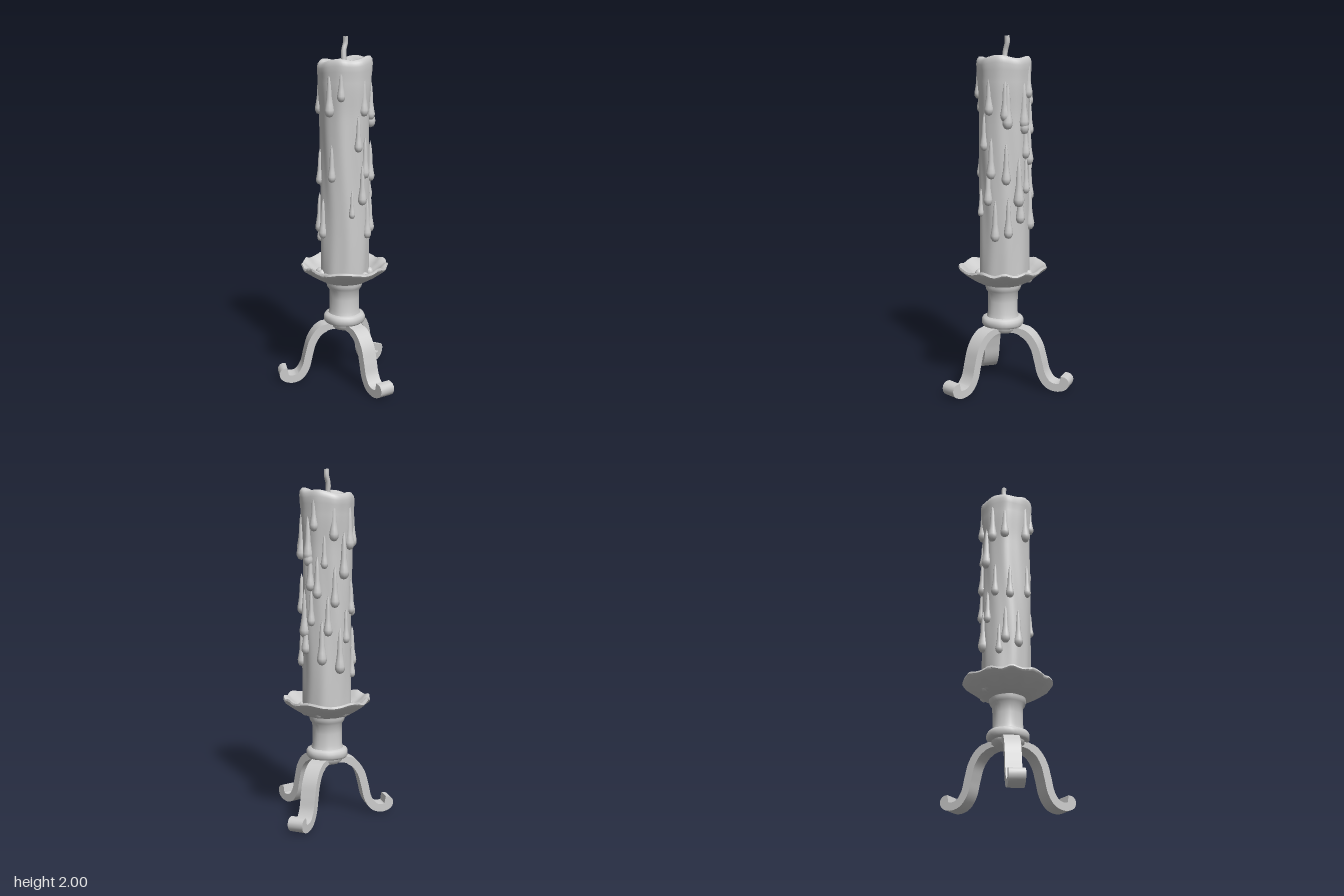
import * as THREE from 'three';
import { mergeVertices, toCreasedNormals } from 'three/addons/utils/BufferGeometryUtils.js';

const CX = 0.057; // the candle axis sits right of the tripod's middle

function seeded(seed) {
  let s = seed;
  return () => (s = (s * 16807) % 2147483647) / 2147483647;
}

// Lathe whose vertices are moved by rule(radius, y, angle) -> [radius, y]
function wavyLathe(profile, segments, rule) {
  const points = profile.map(([r, y]) => new THREE.Vector2(r, y));
  let geo = new THREE.LatheGeometry(points, segments);
  geo.deleteAttribute('uv');
  geo.deleteAttribute('normal');
  const p = geo.attributes.position;
  for (let i = 0; i < p.count; i++) {
    const x = p.getX(i), z = p.getZ(i);
    const a = Math.atan2(z, x);
    const [r, y] = rule(Math.hypot(x, z), p.getY(i), a);
    p.setXYZ(i, r * Math.cos(a), y, r * Math.sin(a));
  }
  geo = mergeVertices(geo, 1e-5);
  geo.computeVertexNormals();
  return geo;
}

export function createModel() {
  const group = new THREE.Group();
  const grey = new THREE.MeshStandardMaterial({ color: 0xcccccc });
  grey.name = 'plain grey';

  function add(name, geo, x = 0, y = 0, z = 0, parent = group) {
    const mesh = new THREE.Mesh(geo, grey);
    mesh.name = name;
    mesh.position.set(x, y, z);
    parent.add(mesh);
    return mesh;
  }

  // Legs: a bent flat bar ending in an upward curl
  const legCurve = new THREE.CatmullRomCurve3([
    [0.0, 0.338], [0.09, 0.337], [0.155, 0.31], [0.2, 0.25], [0.224, 0.17],
    [0.245, 0.09], [0.283, 0.038], [0.335, 0.025], [0.376, 0.042], [0.378, 0.066], [0.352, 0.071],
  ].map(([x, y]) => new THREE.Vector3(x, y, 0)));
  const upper = [], lower = [];
  for (let i = 0; i <= 44; i++) {
    const t = i / 44;
    const p = legCurve.getPoint(t), d = legCurve.getTangent(t);
    const h = t < 0.15 ? 0.019 : 0.023;
    upper.push(new THREE.Vector2(p.x - d.y * h, p.y + d.x * h));
    lower.push(new THREE.Vector2(p.x + d.y * h, p.y - d.x * h));
  }
  const legShape = new THREE.Shape([...lower, ...upper.reverse()]);
  const legGeo = toCreasedNormals(new THREE.ExtrudeGeometry(legShape, { depth: 0.09, bevelEnabled: false }), 0.7);
  legGeo.translate(0, 0, -0.045);
  [[171, 0.97], [56, 1.04], [-60, 1.03]].forEach(([deg, reach], i) => {
    const leg = add('leg' + (i + 1), legGeo, CX, 0, 0);
    leg.rotation.y = -deg * Math.PI / 180;
    leg.scale.x = reach;
  });

  // Stem with a collar at the foot and a flare under the dish
  const wobble = (r, y, a) => [r * (1 + 0.018 * Math.sin(3 * a + y * 9) + 0.012 * Math.sin(7 * a)), y];
  const stem = wavyLathe([
    [0, 0.315], [0.07, 0.316], [0.09, 0.335], [0.092, 0.35], [0.112, 0.353], [0.12, 0.365], [0.12, 0.388],
    [0.112, 0.402], [0.092, 0.408], [0.086, 0.43], [0.085, 0.5], [0.087, 0.55], [0.098, 0.565],
    [0.104, 0.585], [0.104, 0.62], [0, 0.62],
  ], 32, wobble);
  add('stem', toCreasedNormals(stem, 0.9), CX, 0, 0);

  // Drip dish with a ragged rim
  const dish = wavyLathe([
    [0, 0.59], [0.09, 0.592], [0.13, 0.605], [0.175, 0.63], [0.215, 0.66], [0.243, 0.682], [0.25, 0.693],
    [0.246, 0.704], [0.234, 0.703], [0.205, 0.676], [0.165, 0.648], [0.12, 0.63], [0, 0.625],
  ], 72, (r, y, a) => {
    const k = THREE.MathUtils.smoothstep(r, 0.15, 0.25);
    const rag = Math.sin(11 * a + 2 * Math.sin(3 * a)) * 0.5 + Math.sin(23 * a + 1) * 0.35;
    return [r * (1 + k * (0.018 * rag - 0.022 * Math.sin(3 * a + 0.5) * Math.sin(a))),
      y + k * 0.008 * Math.sin(9 * a + 2 * Math.sin(2 * a))];
  });
  add('dripDish', toCreasedNormals(dish, 0.9), CX, 0, 0);

  // Candle: lumpy wall, swollen rim and a hollow top
  const wall = [];
  for (let i = 0; i <= 40; i++) {
    const y = 0.62 + i * 0.029;
    wall.push([0.139 + 0.01 * THREE.MathUtils.smoothstep(y, 1.55, 1.77), y]);
  }
  const candle = wavyLathe([
    ...wall, [0.152, 1.81], [0.153, 1.84], [0.149, 1.862], [0.138, 1.876], [0.123, 1.876],
    [0.108, 1.86], [0.09, 1.835], [0.05, 1.815], [0, 1.81],
  ], 64, (r, y, a) => {
    const k = Math.min(1, r / 0.13);
    const lumps = 0.45 * Math.sin(5 * a + 2.2 * Math.sin(y * 3.1))
      + 0.4 * Math.sin(9 * a - 1.7 * Math.sin(y * 4.3 + 1))
      + 0.35 * Math.sin(3 * a + y * 7);
    const lift = THREE.MathUtils.smoothstep(y, 1.75, 1.87) * k;
    return [r * (1 + 0.034 * k * lumps),
      y + lift * (0.012 * Math.sin(a + 1.3) + 0.008 * Math.sin(4 * a))];
  });
  add('candle', candle, CX, 0, -0.008);

  // Wax runs: teardrops pressed into the wall, [angle in degrees, bulb height, size]
  const drips = new THREE.Group();
  drips.name = 'waxDrips';
  drips.position.set(CX, 0, -0.008);
  group.add(drips);
  const dripGeo = new THREE.LatheGeometry([
    [0, -0.034], [0.016, -0.028], [0.025, -0.012], [0.026, 0.004], [0.021, 0.03],
    [0.015, 0.07], [0.013, 0.12], [0.008, 0.17], [0, 0.2],
  ].map(([r, y]) => new THREE.Vector2(r, y)), 10);
  const runs = [
    [180, 0.92, 1], [170, 1.2, 0.9], [0, 0.92, 1], [5, 1.22, 1], [2, 1.53, 1.1], [128, 1.6, 1.1],
    [122, 1.23, 0.9], [150, 0.9, 1], [40, 1.25, 1], [60, 1.4, 0.9], [45, 1.6, 1], [-40, 1.5, 1.1],
    [8, 1.57, 1], [-25, 1.1, 1.2], [30, 0.9, 1], [48, 1.1, 1], [-45, 1.36, 1], [100, 1.68, 0.9],
    [75, 1.02, 0.7], [182, 1.6, 1],
  ];
  const rnd = seeded(77);
  for (let i = 0; i < 16; i++) runs.push([195 + i * 9 + rnd() * 8, 0.85 + ((i * 0.37) % 0.9), 0.75 + rnd() * 0.4]);
  runs.forEach(([deg, y, s], i) => {
    const a = deg * Math.PI / 180;
    const drip = add('waxDrip' + (i + 1), dripGeo, 0.143 * Math.cos(a), y, 0.143 * Math.sin(a), drips);
    drip.scale.set(s, s, s);
  });

  // Pooled wax lumps at the candle's foot
  const lumpGeo = new THREE.SphereGeometry(0.026, 10, 8);
  for (let i = 0; i < 14; i++) {
    const a = i / 14 * Math.PI * 2 + rnd() * 0.3;
    const lump = add('waxLump' + (i + 1), lumpGeo, 0.143 * Math.cos(a), 0.645, 0.143 * Math.sin(a), drips);
    lump.scale.y = 0.7 + rnd() * 0.9;
  }

  // Wick
  const wickPath = new THREE.CatmullRomCurve3([
    [0.049, 1.79, -0.008], [0.05, 1.87, -0.01], [0.05, 1.92, -0.016], [0.059, 1.96, -0.024], [0.06, 1.998, -0.022],
  ].map((p) => new THREE.Vector3(...p)));
  add('wick', new THREE.TubeGeometry(wickPath, 16, 0.0145, 8, false));
  const tip = add('wickTip', new THREE.CircleGeometry(0.0145, 8), 0.06, 1.998, -0.022);
  tip.rotation.x = -Math.PI / 2;

  return group;
}
